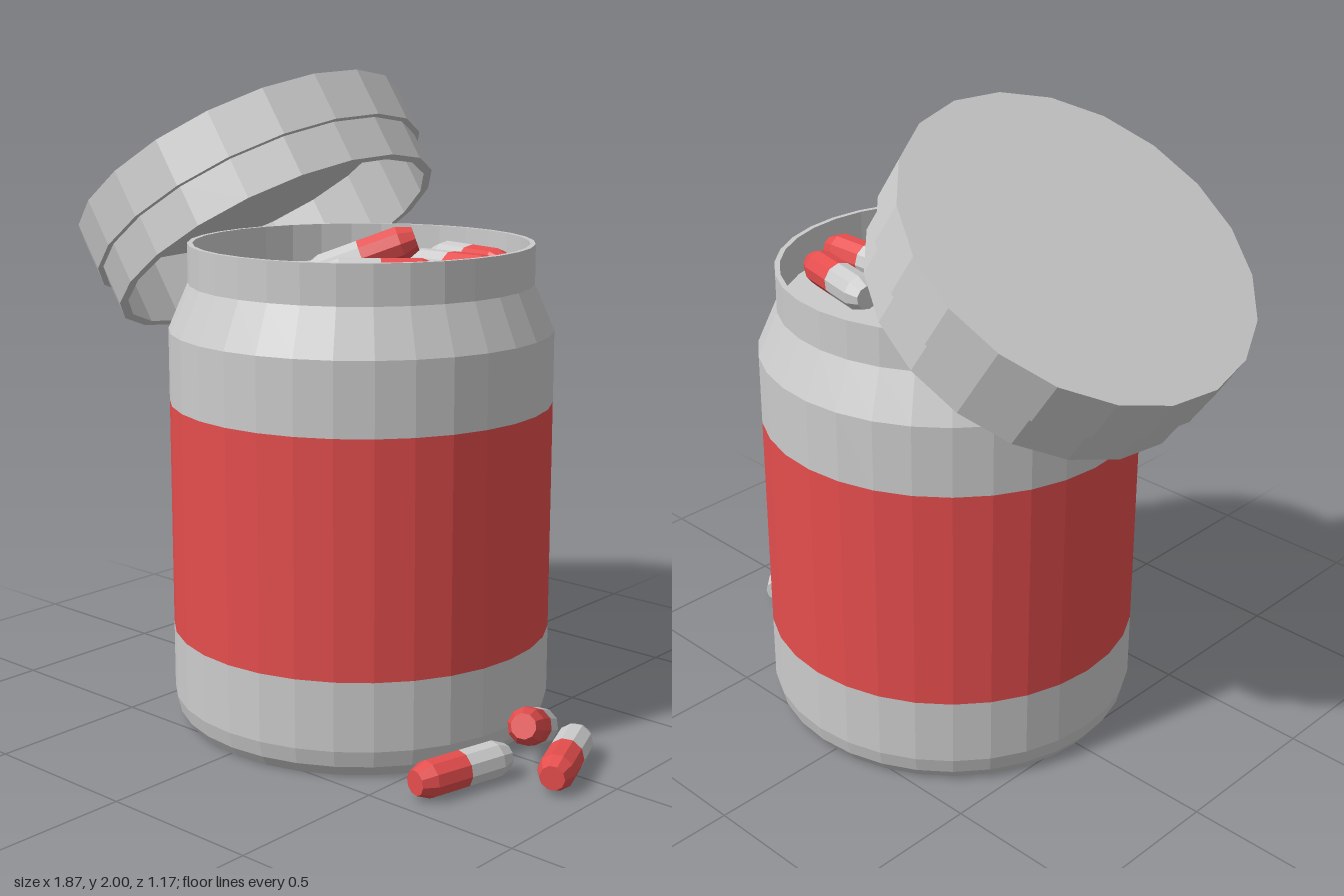
import * as THREE from 'three';

const grey = new THREE.MeshStandardMaterial({ color: 0xcccccc, flatShading: true });
const red = new THREE.MeshStandardMaterial({ color: 0xe54d4d, flatShading: true });

// Turned part from [radius, height] pairs, listed so the outside faces outward
function turned(name, profile, sides, material, phase = 0) {
  const points = profile.map(([r, y]) => new THREE.Vector2(r, y));
  const mesh = new THREE.Mesh(new THREE.LatheGeometry(points, sides, phase), material);
  mesh.name = name;
  return mesh;
}

// Two-tone capsule; direction points towards its red end
function createPill(name, position, direction) {
  const pill = new THREE.Group();
  pill.name = name;
  pill.add(
    turned('greyHalf', [[0, -0.165], [0.037, -0.165], [0.055, -0.12], [0.055, 0]], 10, grey),
    turned('redHalf', [[0.055, 0], [0.055, 0.12], [0.037, 0.165], [0, 0.165]], 10, red)
  );
  pill.position.set(...position);
  pill.quaternion.setFromUnitVectors(
    new THREE.Vector3(0, 1, 0), new THREE.Vector3(...direction).normalize());
  return pill;
}

export function createModel() {
  const model = new THREE.Group();
  model.name = 'pillJar';

  // Jar: base, label band, shoulder and neck with a filled inside
  const jar = new THREE.Group();
  jar.name = 'jar';
  jar.position.x = 0.03;
  jar.add(
    turned('base', [[0, 0.005], [0.55, 0.005], [0.575, 0.04], [0.587, 0.09], [0.587, 0.3]], 32, grey),
    turned('labelBand', [[0.587, 0.3], [0.587, 1.01]], 32, red),
    turned('shoulderAndNeck', [
      [0.587, 1.01], [0.587, 1.23], [0.526, 1.37], [0.526, 1.49],
      [0.51, 1.49], [0.51, 1.37], [0, 1.37]
    ], 32, grey)
  );
  model.add(jar);

  // Hollow stepped lid, leaning against the rim
  const lid = turned('lid', [
    [0, -0.05], [0.51, -0.05], [0.51, -0.285], [0.538, -0.285],
    [0.538, -0.155], [0.556, -0.155], [0.556, 0], [0, 0]
  ], 20, grey, 0.063);
  lid.position.set(-0.48, 1.69, 0);
  lid.rotation.z = THREE.MathUtils.degToRad(34);
  model.add(lid);

  // Pills in the mouth of the jar, then those spilled beside it
  const pills = [
    ['jarPill', [0.33, 1.425, -0.06], [1, 0, 0]],
    ['jarPill', [0.275, 1.425, -0.225], [0.97, 0, 0.22]],
    ['jarPill', [0.275, 1.425, 0.195], [0.74, 0, -0.67]],
    ['jarPill', [0.165, 1.465, 0.15], [0.7, 0.34, -0.62]],
    ['spilledPill', [0.66, 0.06, 0.285], [-0.22, 0, 0.97]],
    ['spilledPill', [0.74, 0.14, 0.05], [0.4, 0.36, 0.85]],
    ['spilledPill', [0.83, 0.06, 0.012], [0.37, 0, 0.93]]
  ];
  pills.forEach(([name, position, direction], i) =>
    model.add(createPill(name + (i + 1), position, direction)));

  return model;
}
